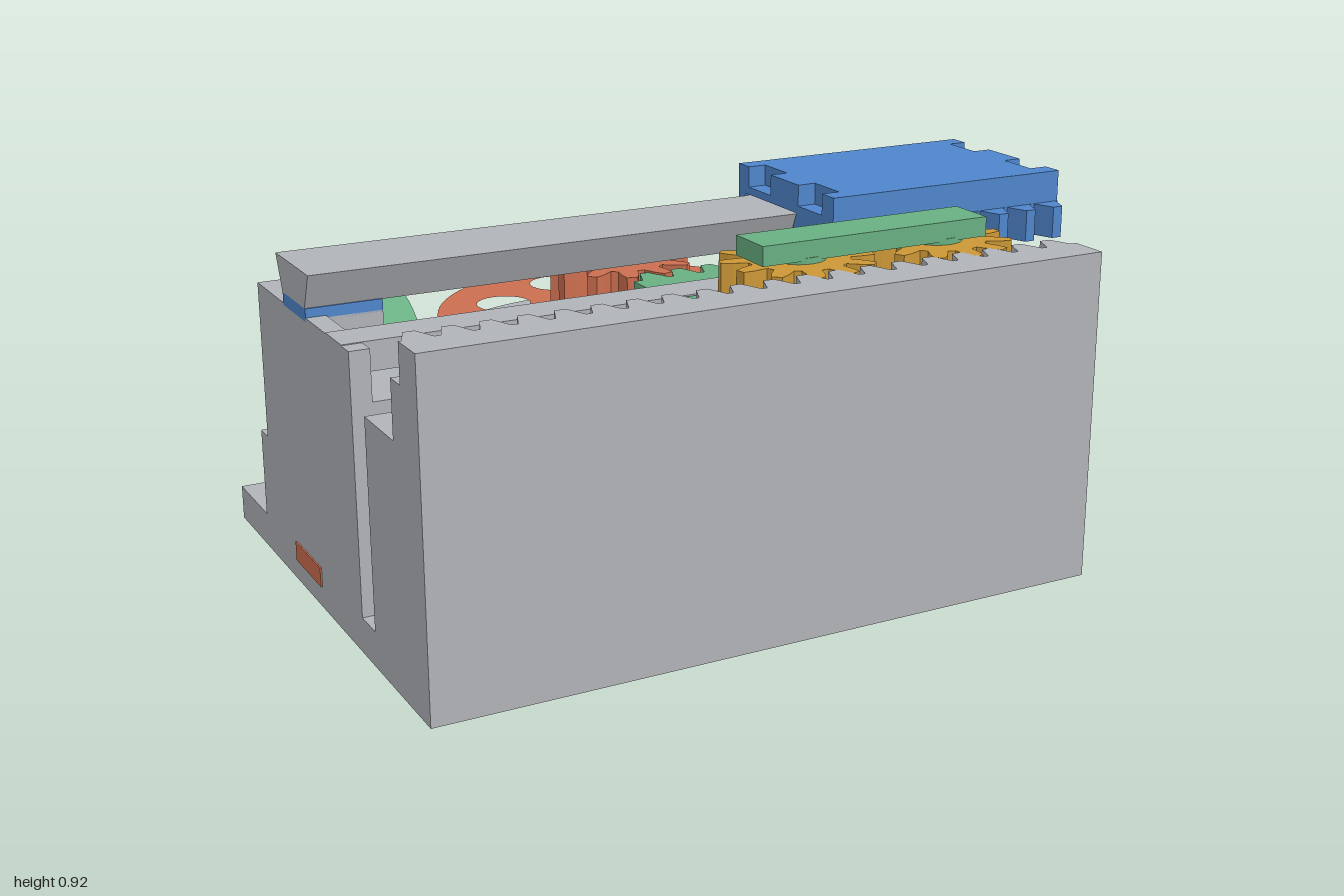
import * as THREE from 'three';

const mat = (name, color) => new THREE.MeshStandardMaterial({ name, color });

export function createModel() {
  const grey = mat('housing grey', 0xb0b3b8);
  const blue = mat('slider blue', 0x4f86cc);
  const green = mat('carriage green', 0x69b083);
  const red = mat('rotor red', 0xcc6e4f);
  const gold = mat('gear gold', 0xcc9836);

  const model = new THREE.Group();
  model.name = 'rackAndGearActuator';
  const CX = -0.125, CZ = -0.15, PITCH = 0.087;

  const add = (name, geo, material, x = 0, y = 0, z = 0) => {
    const m = new THREE.Mesh(geo, material);
    m.name = name;
    m.position.set(x, y, z);
    model.add(m);
    return m;
  };
  // box given by its limits
  const box = (name, material, x0, x1, y0, y1, z0, z1) =>
    add(name, new THREE.BoxGeometry(x1 - x0, y1 - y0, z1 - z0), material,
      (x0 + x1) / 2, (y0 + y1) / 2, (z0 + z1) / 2);
  const cyl = (name, material, r, y0, y1, x, z) =>
    add(name, new THREE.CylinderGeometry(r, r, y1 - y0, 64), material, x, (y0 + y1) / 2, z);
  // outline of [x, z] points, extruded upwards
  const flip = (pts) => pts.map(([a, b]) => new THREE.Vector2(a, -b));
  const plan = (name, material, pts, y0, y1, holes = []) => {
    const s = new THREE.Shape(flip(pts));
    holes.forEach((h) => s.holes.push(new THREE.Path(flip(h))));
    const g = new THREE.ExtrudeGeometry(s, { depth: y1 - y0, bevelEnabled: false });
    return add(name, g.rotateX(-Math.PI / 2), material, 0, y0, 0);
  };
  // cross-section of [z, y] points, extruded along x
  const along = (name, material, pts, x0, x1) => {
    const s = new THREE.Shape(pts.map(([z, y]) => new THREE.Vector2(-z, y)));
    const g = new THREE.ExtrudeGeometry(s, { depth: x1 - x0, bevelEnabled: false });
    return add(name, g.rotateY(Math.PI / 2), material, x0, 0, 0);
  };
  const circle = (x, z, r, n = 32) => Array.from({ length: n }, (_, i) => {
    const a = (i / n) * Math.PI * 2;
    return [x + r * Math.cos(a), z + r * Math.sin(a)];
  });
  const rect = (x0, x1, z0, z1) => [[x0, z0], [x1, z0], [x1, z1], [x0, z1]];
  const gearPts = (x, z, n, root, tip, phase) => {
    const pts = [], mid = (root + tip) / 2 + 0.005;
    for (let i = 0; i < n; i++) {
      for (const [f, r] of [[-0.36, root], [-0.24, mid], [-0.13, tip], [0.13, tip], [0.24, mid], [0.36, root]]) {
        const a = phase + ((i + f) / n) * Math.PI * 2;
        pts.push([x + r * Math.cos(a), z + r * Math.sin(a)]);
      }
    }
    return pts;
  };
  // toothed edge running in x, from z root to z tip, closed against z back
  const rackPts = (x0, x1, firstTip, back, root, tip) => {
    const pts = [[x0, back], [x0, root]];
    for (let c = firstTip; c < x1 - 0.04; c += PITCH) {
      if (c - 0.04 < x0) continue;
      pts.push([c - 0.036, root], [c - 0.014, tip], [c + 0.014, tip], [c + 0.036, root]);
    }
    pts.push([x1, root], [x1, back]);
    return pts;
  };

  // base plate with mounting holes and recesses
  const holes = [circle(CX, CZ, 0.06)];
  for (const sx of [-1, 1]) for (const sz of [-1, 1]) holes.push(circle(CX + sx * 0.135, CZ + sz * 0.135, 0.048));
  holes.push(rect(-0.32, -0.01, -0.56, -0.37), rect(0.58, 0.67, -0.34, -0.26), rect(-0.92, -0.83, -0.34, -0.26));
  plan('basePlate', grey, rect(-1, 0.75, -0.69, 0.69), 0, 0.09, holes);

  // front wall with ledge, and its rack
  along('frontWall', grey, [[0.69, 0.09], [0.69, 0.745], [0.535, 0.745], [0.535, 0.605], [0.355, 0.605], [0.355, 0.09]], -1, 0.75);
  plan('fixedRack', grey, rackPts(-1, 0.75, 0.4365 - 16 * PITCH, 0.69, 0.592, 0.535), 0.745, 0.84);

  // parts mirrored at both ends of the housing
  for (const s of [-1, 1]) {
    const mx = (d) => CX + s * d;
    const span = (name, material, d0, d1, ...rest) =>
      box(name, material, Math.min(mx(d0), mx(d1)), Math.max(mx(d0), mx(d1)), ...rest);
    // inner block hollowed round the motor
    const pts = [[mx(0.875), 0.27], [mx(0.875), -0.03]];
    for (let i = 0; i <= 14; i++) {
      const z = -0.03 + 0.3 * (i / 14);
      pts.push([mx(Math.sqrt(0.56 ** 2 - (z - CZ) ** 2)), z]);
    }
    plan('innerBlock', grey, pts, 0.09, 0.605);
    span('endWall', grey, 0.825, 0.875, 0.605, 0.73, -0.03, 0.27);
    span('tower', grey, 0.685, 0.875, 0.09, 0.725, -0.41, -0.03);
    span('towerFoot', grey, 0.655, 0.875, 0.09, 0.32, -0.465, -0.38);
    span('railPad', blue, 0.685, 0.875, 0.72, 0.752, -0.2, -0.03);
    span('latch', red, 0.7, 0.879, 0.055, 0.105, -0.21, -0.02);
    // roller on the inside of the tower
    const roller = cyl('roller', green, 0.18, -0.05, 0.05, 0, 0);
    roller.rotation.z = Math.PI / 2;
    roller.position.set(mx(0.63), 0.54, -0.21);
  }

  // guide bar and dovetail rail
  box('guideBar', grey, -1, 0.75, 0.66, 0.732, 0.11, 0.22);
  along('dovetailRail', grey, [[-0.035, 0.75], [0.005, 0.84], [-0.24, 0.84], [-0.2, 0.75]], -1, 0.75);

  // motor, rotor disc and pinion
  cyl('motorBase', grey, 0.54, 0.09, 0.23, CX, CZ);
  cyl('motorBody', grey, 0.485, 0.23, 0.515, CX, CZ);
  const discHoles = [];
  for (let i = 0; i < 8; i++) {
    const a = (8 + i * 45) * Math.PI / 180;
    discHoles.push(circle(CX + 0.31 * Math.cos(a), CZ - 0.31 * Math.sin(a), 0.07));
  }
  plan('rotorDisc', red, circle(CX, CZ, 0.47, 72), 0.52, 0.605, discHoles);
  plan('pinion', red, gearPts(CX, CZ, 11, 0.12, 0.18, -Math.PI / 2), 0.605, 0.735);

  // sliding carriage, notched under the guide bar
  box('carriage', green, -0.18, 0.7, 0.61, 0.73, 0.225, 0.525);
  box('carriageBridge', green, -0.18, 0.7, 0.61, 0.655, 0.1, 0.225);
  plan('carriageRack', green, rackPts(-0.18, 0.7, -0.12, 0.105, 0.04, -0.02), 0.61, 0.73);

  // pair of gears on posts, joined by a link
  [[0.4795, 0], [0.088, Math.PI / 12]].forEach(([x, phase]) => {
    const z = 0.39;
    cyl('gearPost', green, 0.07, 0.73, 0.855, x - 0.01, z);
    plan('gear', gold, gearPts(x - 0.01, z, 12, 0.128, 0.19, phase), 0.755, 0.84);
  });
  box('gearLink', green, -0.055, 0.577, 0.848, 0.897, 0.33, 0.457);

  // dovetailed slider with notched ends and a rack
  const under = [[-0.283, 0.755], [-0.21, 0.755], [-0.245, 0.845], [0.018, 0.845], [-0.022, 0.755], [0.195, 0.755]];
  const notched = [[0.195, 0.92], [0.14, 0.92], [0.14, 0.865], [0.025, 0.865], [0.025, 0.92],
    [-0.115, 0.92], [-0.115, 0.865], [-0.23, 0.865], [-0.23, 0.92], [-0.283, 0.92]];
  along('sliderBody', blue, [...under, [0.195, 0.92], [-0.283, 0.92]], 0.35, 0.95);
  along('sliderEnd', blue, [...under, ...notched], 0.3, 0.35);
  along('sliderEnd', blue, [...under, ...notched], 0.95, 1);
  plan('sliderRack', blue, rackPts(0.3, 1, 0.35, 0.17, 0.197, 0.252), 0.755, 0.838);

  return model;
}
